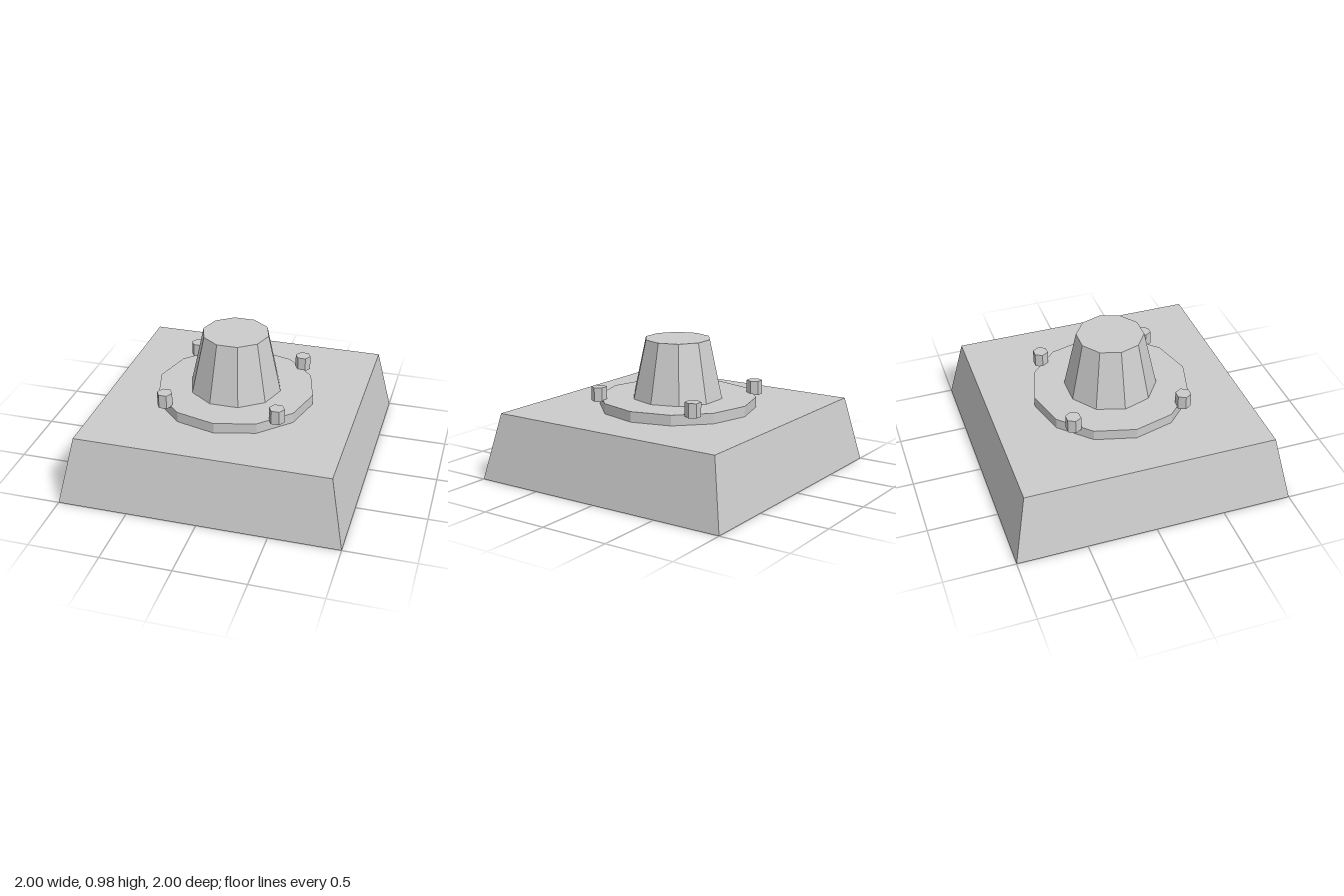
import * as THREE from 'three';

const material = new THREE.MeshStandardMaterial({ color: 0xcccccc, flatShading: true });

// Faceted, optionally tapered prism standing between two heights
function prism(name, rTop, rBottom, y0, y1, sides, turn) {
  const geometry = new THREE.CylinderGeometry(rTop, rBottom, y1 - y0, sides);
  geometry.rotateY(turn);
  const mesh = new THREE.Mesh(geometry, material);
  mesh.name = name;
  mesh.position.y = (y0 + y1) / 2;
  return mesh;
}

export function createModel() {
  const model = new THREE.Group();
  model.name = 'pedestal';

  // Square base with sloping sides
  model.add(prism('base', 0.9 * Math.SQRT2, Math.SQRT2, 0, 0.48, 4, Math.PI / 4));

  // Twelve-sided flange and ten-sided tapered hub
  model.add(prism('flange', 0.57, 0.57, 0.48, 0.555, 12, 0));
  model.add(prism('hub', 0.24, 0.333, 0.555, 0.98, 10, Math.PI / 2));

  // Hexagonal bolts straddling the flange rim
  const bolts = new THREE.Group();
  bolts.name = 'bolts';
  for (const x of [-1, 1]) {
    for (const z of [-1, 1]) {
      const bolt = prism('bolt', 0.056, 0.056, 0.545, 0.647, 6, Math.PI / 2);
      bolt.position.x = x * 0.405;
      bolt.position.z = z * 0.405;
      bolts.add(bolt);
    }
  }
  model.add(bolts);
  return model;
}
